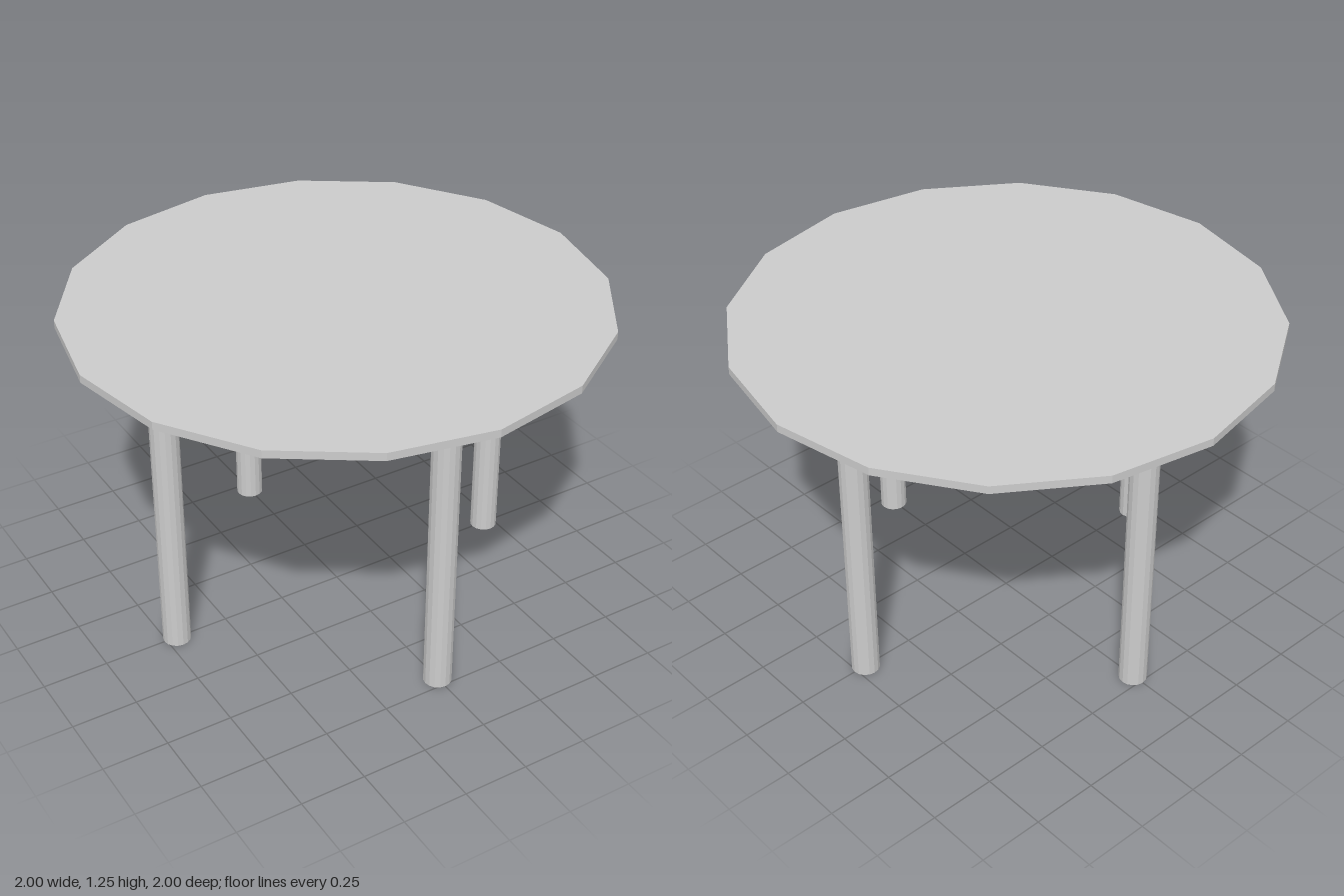
import * as THREE from 'three';

export function createModel() {
  const table = new THREE.Group();
  table.name = 'roundTable';
  const material = new THREE.MeshStandardMaterial({ color: 0xcccccc, flatShading: true });

  const topHeight = 1.25, topThickness = 0.03, sides = 16;
  const legLength = topHeight - topThickness, legRadius = 0.053, legOffset = 0.707;

  // Sixteen-sided table top
  const top = new THREE.Mesh(new THREE.CylinderGeometry(1, 1, topThickness, sides), material);
  top.name = 'tableTop';
  top.position.y = topHeight - topThickness / 2;
  table.add(top);

  // Four straight legs, one on each axis
  const legGeometry = new THREE.CylinderGeometry(legRadius, legRadius, legLength, sides);
  ['frontLeg', 'leftLeg', 'backLeg', 'rightLeg'].forEach((name, i) => {
    const angle = i * Math.PI / 2;
    const leg = new THREE.Mesh(legGeometry, material);
    leg.name = name;
    leg.position.set(Math.sin(angle) * legOffset, legLength / 2, Math.cos(angle) * legOffset);
    table.add(leg);
  });

  return table;
}
